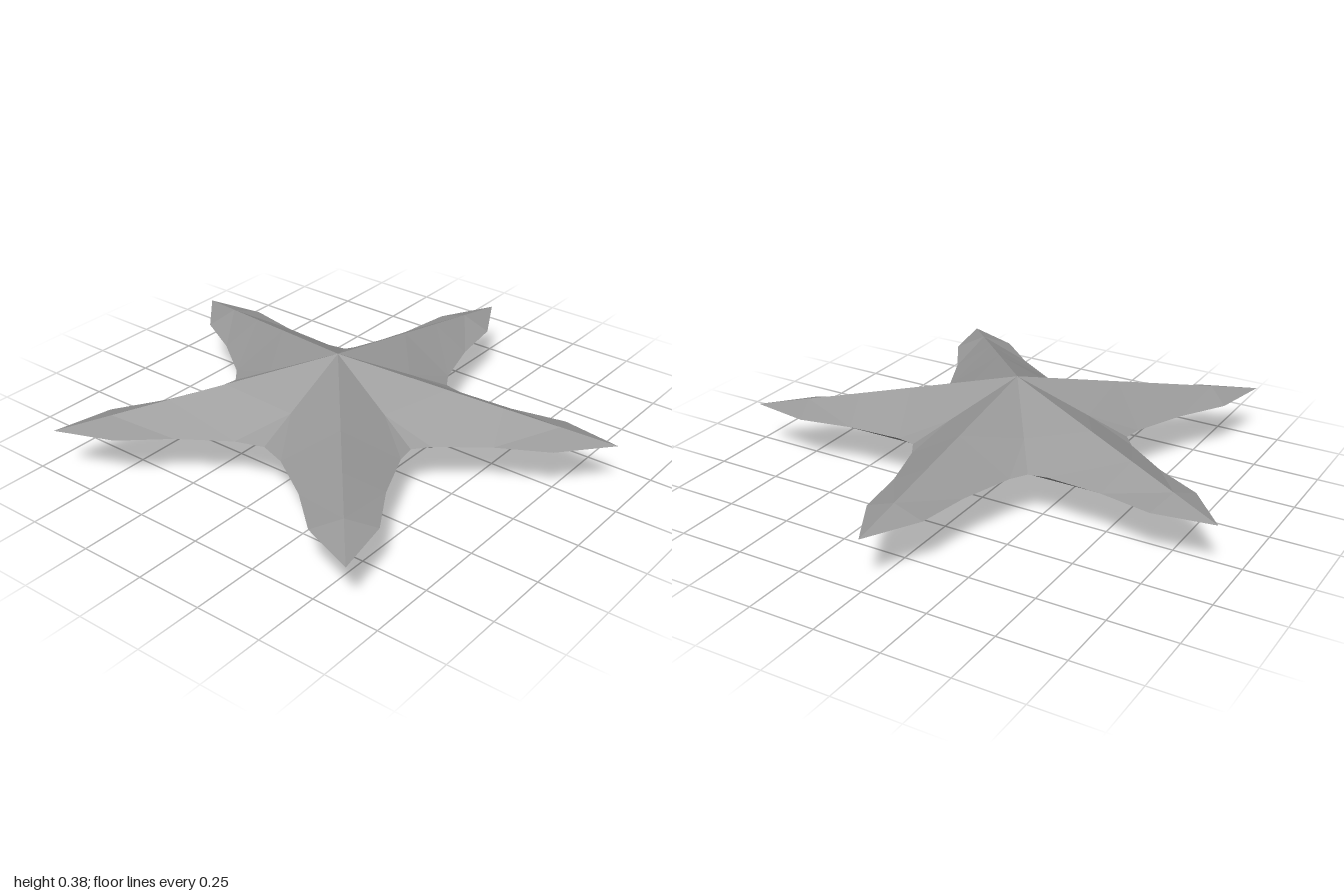
import * as THREE from 'three';

const MID = 0.195;      // height of the rim
const RISE = 0.192;     // height of the peak above the rim
const ARMS = [-110, -40, 40, 110, 180];   // arm headings in degrees from +z towards +x
// Rim of half an arm: [distance along the arm, half width]
const RIM = [[1, 0], [0.8, 0.11], [0.6, 0.14], [0.4, 0.2]];

// One arm, from its tip in to the two notches beside it; both faces are closed at the rim
function armGeometry(heading, gapBefore, gapAfter) {
  const a = THREE.MathUtils.degToRad(heading);
  const place = (along, side, h) => new THREE.Vector3(
    along * Math.sin(a) + side * Math.cos(a), MID + h, along * Math.cos(a) - side * Math.sin(a));
  const positions = [];

  // Adds a triangle that faces up (face = 1) or down (face = -1)
  const tri = (p, q, r, face) => {
    const n = q.clone().sub(p).cross(r.clone().sub(p));
    const order = n.y * face > 0 ? [p, q, r] : [p, r, q];
    order.forEach((v) => positions.push(v.x, v.y, v.z));
  };

  for (const face of [1, -1]) {
    const ridge = (along) => place(along, 0, face * RISE * (1 - along));
    const peak = ridge(0);
    for (const side of [1, -1]) {
      const half = THREE.MathUtils.degToRad(side > 0 ? gapAfter : gapBefore) / 2;
      const r = half > 0.65 ? 0.4 : 0.413;
      const notch = place(r * Math.cos(half), side * r * Math.sin(half), 0);
      const rim = RIM.map(([along, w]) => place(along, side * w, 0));
      // Flank strips between ridge and rim
      tri(rim[0], rim[1], ridge(RIM[1][0]), face);
      for (let i = 1; i < RIM.length - 1; i++) {
        const outer = ridge(RIM[i][0]);
        const inner = ridge(RIM[i + 1][0]);
        tri(outer, rim[i], rim[i + 1], face);
        tri(outer, rim[i + 1], inner, face);
      }
      // Root of the arm, folded along the valley from notch to peak
      const root = ridge(0.4);
      const valley = peak.clone().lerp(notch, 0.65);
      tri(root, rim[3], valley, face);
      tri(rim[3], notch, valley, face);
      tri(root, valley, peak, face);
    }
  }

  const geometry = new THREE.BufferGeometry();
  geometry.setAttribute('position', new THREE.Float32BufferAttribute(positions, 3));
  geometry.computeVertexNormals();
  return geometry;
}

export function createModel() {
  const group = new THREE.Group();
  group.name = 'star';
  const material = new THREE.MeshStandardMaterial({ color: 0x999999, flatShading: true });
  const names = ['rightArm', 'frontRightArm', 'frontLeftArm', 'leftArm', 'backArm'];
  ARMS.forEach((heading, i) => {
    const gapTo = (other) => Math.abs(((other - heading + 540) % 360) - 180);
    const before = gapTo(ARMS[(i + 4) % 5]);
    const after = gapTo(ARMS[(i + 1) % 5]);
    const arm = new THREE.Mesh(armGeometry(heading, before, after), material);
    arm.name = names[i];
    group.add(arm);
  });
  return group;
}
